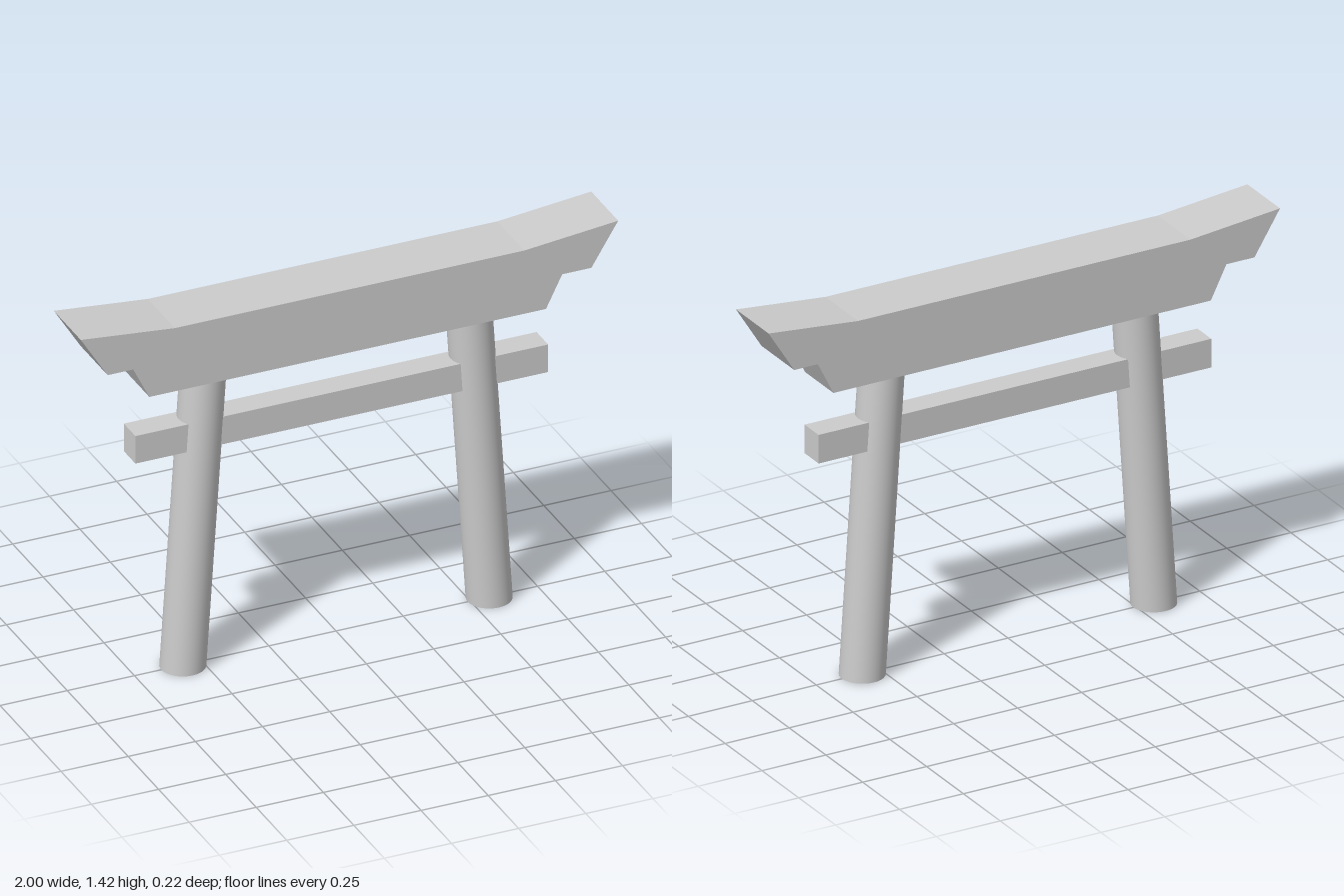
import * as THREE from 'three';

const material = new THREE.MeshStandardMaterial({ color: 0xcccccc });
const openMaterial = new THREE.MeshStandardMaterial({ color: 0xcccccc, side: THREE.DoubleSide });

// Beam from the right half of its front outline (listed bottom to top), mirrored in x
function beam(name, half, depth) {
  const mirrored = half.map(([x, y]) => [-x, y]).reverse();
  const shape = new THREE.Shape([...half, ...mirrored].map(([x, y]) => new THREE.Vector2(x, y)));
  const geometry = new THREE.ExtrudeGeometry(shape, { depth, bevelEnabled: false });
  geometry.translate(0, 0, -depth / 2);
  const mesh = new THREE.Mesh(geometry, material);
  mesh.name = name;
  return mesh;
}

// Open round post that leans inward while its ends stay level
function pillar(name, side) {
  const height = 1.13, footX = 0.57, topX = 0.495;
  const geometry = new THREE.CylinderGeometry(0.08, 0.08, height, 32, 1, true);
  geometry.translate(0, height / 2, 0);
  const lean = new THREE.Matrix4().makeShear(0, 0, side * (topX - footX) / height, 0, 0, 0);
  geometry.applyMatrix4(lean);
  geometry.translate(side * footX, 0, 0);
  const mesh = new THREE.Mesh(geometry, openMaterial);
  mesh.name = name;
  return mesh;
}

export function createModel() {
  const gate = new THREE.Group();
  gate.name = 'gate';

  // Posts
  gate.add(pillar('leftPillar', 1), pillar('rightPillar', -1));

  // Tie beam passing through the posts
  gate.add(beam('tieBeam', [[0.768, 0.853], [0.768, 0.96]], 0.095));

  // Lower lintel with outward slanting ends
  gate.add(beam('lowerLintel', [[0.738, 1.13], [0.803, 1.26]], 0.192));

  // Top lintel with upswept tips
  gate.add(beam('topLintel', [[0.9, 1.26], [1, 1.42], [0.65, 1.385]], 0.222));

  return gate;
}
